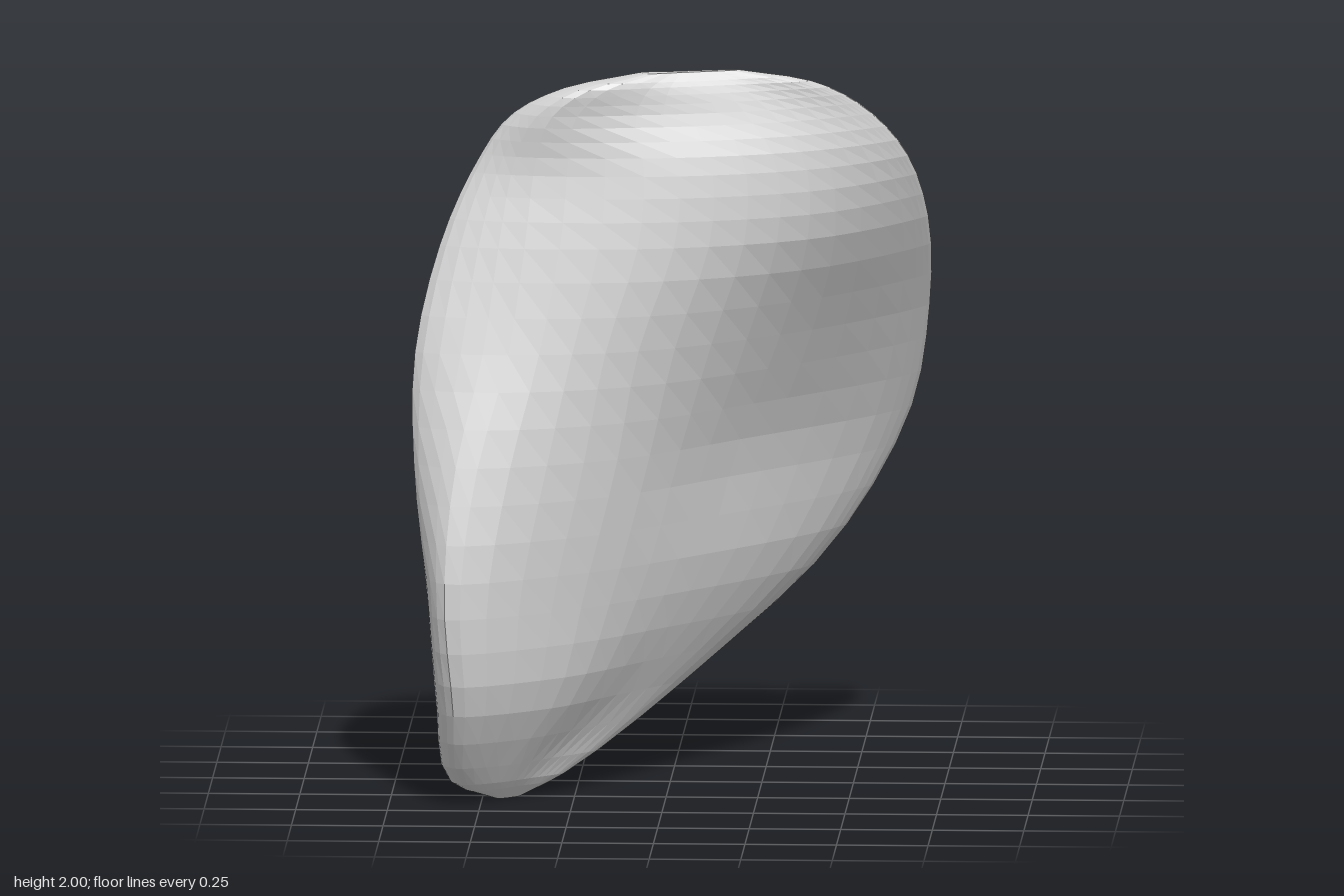
import * as THREE from 'three';

// Horizontal sections: y, then x,z pairs for left rim, three front points, right rim, two back points
const SECTIONS = [
  [0.06, -.59, .34, -.55, .40, -.45, .36, -.36, .28, -.27, .18, -.42, .20, -.53, .26],
  [0.30, -.62, .45, -.56, .555, -.30, .40, -.10, .13, .085, -.18, -.14, -.02, -.46, .24],
  [0.60, -.645, .45, -.58, .59, -.23, .39, .10, .04, .43, -.46, .08, -.30, -.42, .16],
  [0.93, -.68, .43, -.55, .525, -.15, .365, .20, -.01, .625, -.585, .16, -.42, -.39, .12],
  [1.25, -.68, .38, -.47, .43, -.09, .36, .32, .05, .685, -.47, .17, -.34, -.38, .11],
  [1.55, -.61, .30, -.43, .355, .01, .335, .40, .165, .69, -.23, .27, -.13, -.28, .12],
  [1.75, -.52, .25, -.40, .305, .02, .305, .39, .18, .635, -.055, .30, .01, -.21, .14],
  [1.88, -.43, .25, -.35, .315, -.02, .27, .30, .18, .53, .04, .25, .085, -.20, .19],
  [1.96, -.29, .27, -.24, .315, 0, .25, .20, .19, .40, .115, .18, .14, -.10, .21],
];
const AROUND = 44, ROWS = 32;

// Point part of the way from a to b, pushed outwards to round the rim
function bulge(a, b, t, push) {
  const p = a.clone().lerp(b, t);
  p.x -= (b.z - a.z) * push;
  p.z += (b.x - a.x) * push;
  return p;
}

const center = (ring) => ring.reduce((s, p) => s.add(p), new THREE.Vector3()).divideScalar(ring.length);

// Shrinks a ring about its centre and moves it to a new height
function shrink(ring, scale, y) {
  const c = center(ring);
  return ring.map((p) => p.clone().sub(c).multiplyScalar(scale).add(c).setY(y));
}

function shellGeometry() {
  // Smooth closed loop through each section
  const rings = SECTIONS.map(([y, ...xz]) => {
    const pts = [];
    for (let i = 0; i < xz.length; i += 2) pts.push(new THREE.Vector3(xz[i], y, xz[i + 1]));
    const [left, f1, f2, f3, right, b1, b2] = pts;
    const loop = new THREE.CatmullRomCurve3([left, f1, f2, f3, bulge(f3, right, 0.8, 0.05),
      right, bulge(right, b1, 0.2, 0.06), b1, b2, bulge(b2, left, 0.65, 0.1)], true);
    return Array.from({ length: AROUND }, (_, j) => loop.getPoint(j / AROUND));
  });
  rings.unshift(shrink(rings[0], 0.2, 0));
  rings.push(shrink(rings[rings.length - 1], 0.4, 2));

  // Smooth columns running from the tip to the top edge
  const columns = Array.from({ length: AROUND }, (_, j) =>
    new THREE.CatmullRomCurve3(rings.map((r) => r[j])));
  const pos = [], index = [];
  for (let i = 0; i <= ROWS; i++) {
    for (const col of columns) {
      const p = col.getPoint(i / ROWS);
      pos.push(p.x, THREE.MathUtils.clamp(p.y, 0, 2), p.z);
    }
  }
  for (let i = 0; i < ROWS; i++) {
    for (let j = 0; j < AROUND; j++) {
      const a = i * AROUND + j, b = i * AROUND + (j + 1) % AROUND;
      index.push(a, b, a + AROUND, b, b + AROUND, a + AROUND);
    }
  }

  // Close both ends
  const bottom = pos.length / 3, top = bottom + 1, last = ROWS * AROUND;
  for (const ring of [rings[0], rings[rings.length - 1]]) pos.push(...center(ring).toArray());
  for (let j = 0; j < AROUND; j++) {
    const k = (j + 1) % AROUND;
    index.push(bottom, k, j, top, last + j, last + k);
  }

  const g = new THREE.BufferGeometry();
  g.setAttribute('position', new THREE.Float32BufferAttribute(pos, 3));
  g.setIndex(index);
  g.computeVertexNormals();
  return g;
}

export function createModel() {
  const group = new THREE.Group();
  group.name = 'curvedShell';
  const grey = new THREE.MeshStandardMaterial({ color: 0xd2d2d2, flatShading: true });
  grey.name = 'stone grey';
  const shell = new THREE.Mesh(shellGeometry(), grey);
  shell.name = 'shell';
  group.add(shell);
  return group;
}
